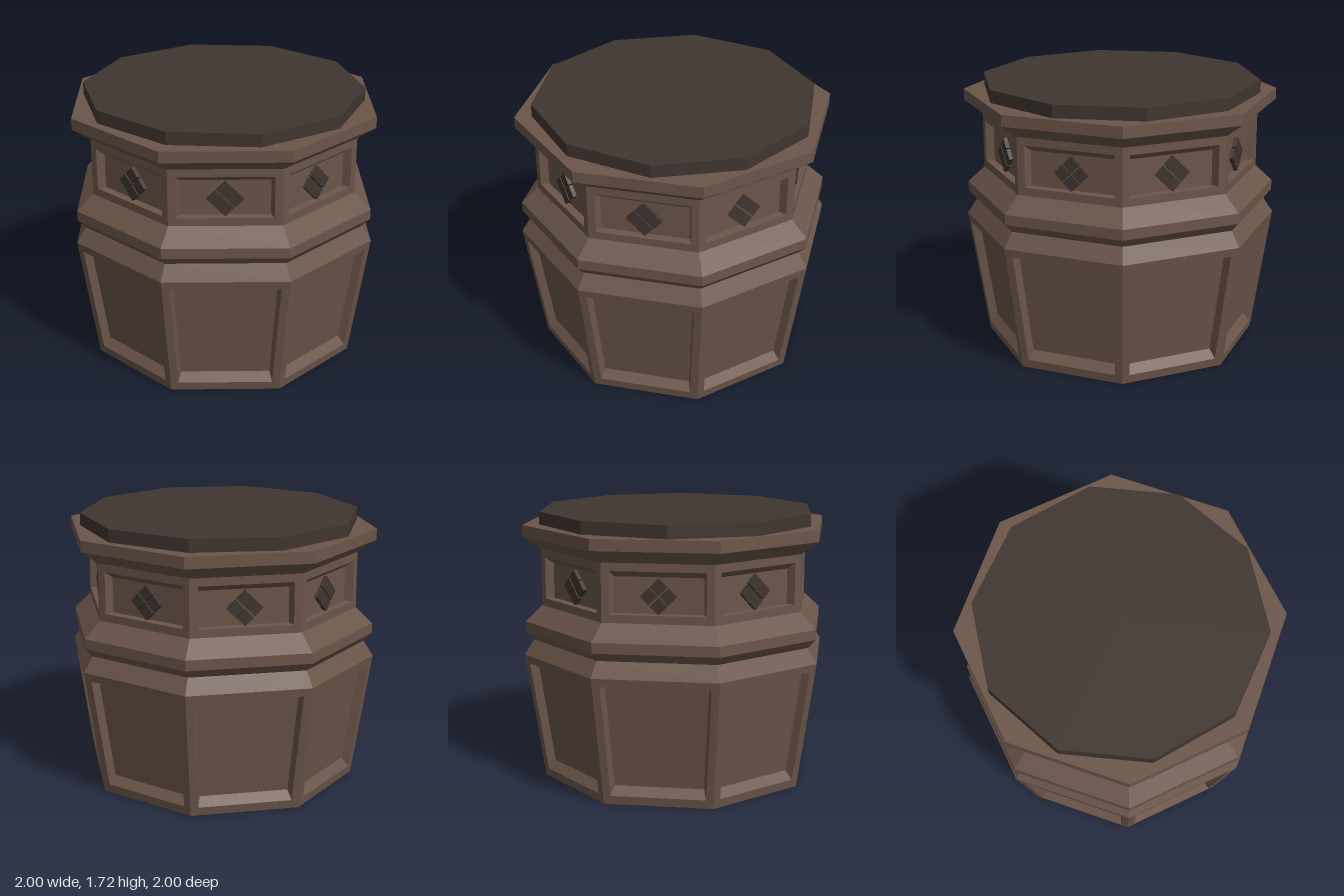
import * as THREE from 'three';

const SIDES = 8;
const HALF = Math.PI / SIDES;

const body = new THREE.MeshStandardMaterial({ color: 0x6b5549, flatShading: true });
const dark = new THREE.MeshStandardMaterial({ color: 0x403530, flatShading: true });

function addMesh(parent, name, geometry, material) {
  const mesh = new THREE.Mesh(geometry, material);
  mesh.name = name;
  parent.add(mesh);
  return mesh;
}

// Octagonal moulding from a [radius, y] profile, listed bottom to top
function moulding(profile) {
  return new THREE.LatheGeometry(profile.map(([r, y]) => new THREE.Vector2(r, y)), SIDES);
}

// Corners of a four-sided outline on a side facing +z, counter-clockwise.
// radius(y) is the octagon's corner radius, margin the inset from its corners.
function outline(radius, y0, y1, margin, depth, outerY0 = y0, outerY1 = y1) {
  const at = (side, y, outerY) => [
    side * (radius(outerY) * Math.sin(HALF) - margin), y,
    radius(outerY) * Math.cos(HALF) - depth,
  ];
  return [at(-1, y0, outerY0), at(1, y0, outerY0), at(1, y1, outerY1), at(-1, y1, outerY1)];
}

// One wall side: flat frame, sloping reveal and sunken floor
function panelSide(loops) {
  const pos = [];
  const quad = (a, b, c, d) => pos.push(...a, ...b, ...c, ...a, ...c, ...d);
  for (let l = 0; l < loops.length - 1; l++) {
    for (let i = 0; i < 4; i++) {
      const j = (i + 1) % 4;
      quad(loops[l][i], loops[l][j], loops[l + 1][j], loops[l + 1][i]);
    }
  }
  quad(...loops[loops.length - 1]);
  const g = new THREE.BufferGeometry();
  g.setAttribute('position', new THREE.Float32BufferAttribute(pos, 3));
  g.computeVertexNormals();
  return g;
}

export function createModel() {
  const group = new THREE.Group();
  group.name = 'octagonalPedestal';

  // Underside
  addMesh(group, 'base', moulding([[0, 0], [0.88, 0]]), body);

  // Waist moulding between the two panelled tiers
  addMesh(group, 'waistMoulding', moulding([
    [1, 0.815], [0.937, 0.91], [0.988, 0.965], [0.988, 1.03], [0.88, 1.13],
  ]), body);

  // Cornice
  addMesh(group, 'cornice', moulding([
    [0.88, 1.49], [0.995, 1.572], [0.995, 1.643], [0, 1.643],
  ]), body);

  // Ten-sided top slab
  const slab = addMesh(group, 'topSlab', new THREE.CylinderGeometry(0.887, 0.887, 0.082, 10), dark);
  slab.position.y = 1.682;

  // Panel geometry for the tapered lower tier and the straight upper tier
  const taper = (y) => 0.88 + 0.12 * y / 0.815;
  const straight = () => 0.88;
  const lower = panelSide([
    outline(taper, 0, 0.815, 0, 0),
    outline(taper, 0.055, 0.765, 0.048, 0),
    outline(taper, 0.11, 0.765, 0.068, 0.05),
  ]);
  const upper = panelSide([
    outline(straight, 1.13, 1.49, 0, 0),
    outline(straight, 1.18, 1.44, 0.048, 0),
    outline(straight, 1.182, 1.402, 0.068, 0.05),
  ]);
  const tile = new THREE.BoxGeometry(0.073, 0.073, 0.03);
  const floorZ = 0.88 * Math.cos(HALF) - 0.05;

  for (let i = 0; i < SIDES; i++) {
    const side = new THREE.Group();
    side.name = 'side' + (i + 1);
    side.rotation.y = (2 * i + 1) * HALF;
    addMesh(side, 'lowerPanel', lower, body);
    addMesh(side, 'upperPanel', upper, body);

    // Diamond of four raised tiles
    const diamond = new THREE.Group();
    diamond.name = 'diamond';
    diamond.position.set(0, 1.288, floorZ + 0.01);
    diamond.rotation.z = Math.PI / 4;
    for (const x of [-1, 1]) {
      for (const y of [-1, 1]) {
        addMesh(diamond, 'diamondTile', tile, dark).position.set(x * 0.041, y * 0.041, 0);
      }
    }
    side.add(diamond);
    group.add(side);
  }
  return group;
}
